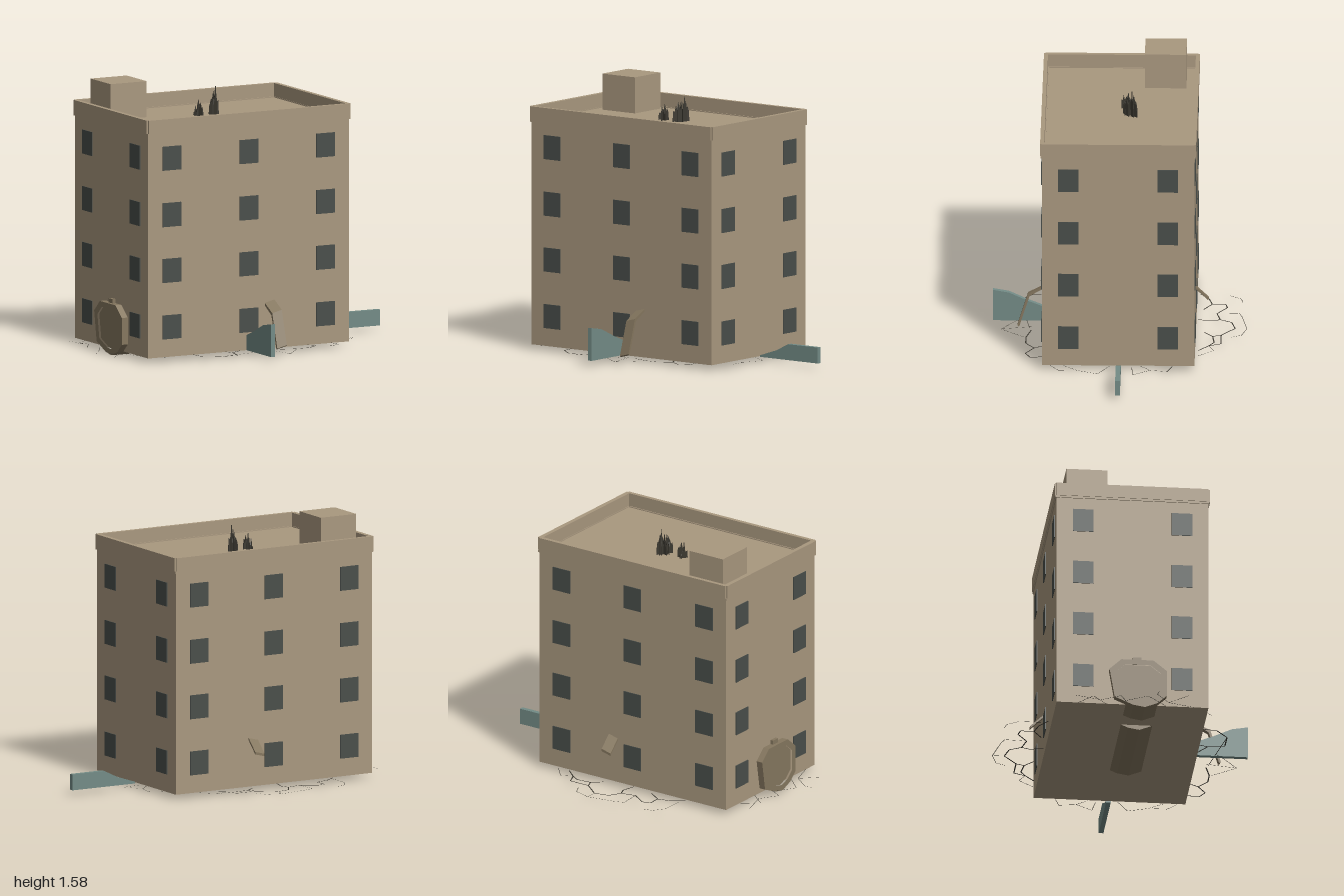
import * as THREE from 'three';

const mat = (name, color, side = THREE.FrontSide) =>
  Object.assign(new THREE.MeshStandardMaterial({ color, side }), { name });

export function createModel() {
  const wall = mat('tan plaster', 0xa9987f);
  const glass = mat('dark window', 0x494e4a);
  const slate = mat('grey teal', 0x738b86);
  const wreck = mat('weathered tan', 0x85775f);
  const soot = mat('charred', 0x3b3830, THREE.DoubleSide);

  const model = new THREE.Group();
  model.name = 'ruinedBuilding';
  const add = (parent, name, geometry, material) => {
    const mesh = new THREE.Mesh(geometry, material);
    mesh.name = name;
    parent.add(mesh);
    return mesh;
  };
  const group = (name) => {
    const g = new THREE.Group();
    g.name = name;
    model.add(g);
    return g;
  };
  // Box given by its minimum and maximum corners
  const box = (x0, x1, y0, y1, z0, z1) =>
    new THREE.BoxGeometry(x1 - x0, y1 - y0, z1 - z0)
      .translate((x0 + x1) / 2, (y0 + y1) / 2, (z0 + z1) / 2);
  const outline = (pts) => new THREE.Shape(pts.map(([a, b]) => new THREE.Vector2(a, b)));
  // Profile in (x, y) extruded along z
  const prismZ = (shape, z0, z1) =>
    new THREE.ExtrudeGeometry(shape, { depth: z1 - z0, bevelEnabled: false }).translate(0, 0, z0);
  // Profile in (z, y) extruded along x
  const prismX = (shape, x0, x1) =>
    new THREE.ExtrudeGeometry(shape, { depth: x1 - x0, bevelEnabled: false })
      .rotateY(-Math.PI / 2).translate(x1, 0, 0);

  // Main block and roof hut
  add(model, 'buildingBlock', box(-0.8, 0.55, 0.03, 1.365, -0.45, 0.45), wall);
  add(model, 'roofHut', box(-0.73, -0.487, 1.36, 1.58, -0.385, -0.14), wall);

  // Parapet walls with notched corners, over a thin ledge
  const parapet = group('parapet');
  for (const s of [-1, 1]) {
    const long = box(-0.8, 0.55, 1.37, 1.45, 0.436, 0.46);
    add(parapet, 'parapetLongWall', s > 0 ? long : long.rotateY(Math.PI).translate(-0.25, 0, 0), wall);
    const [x0, x1] = s > 0 ? [0.533, 0.56] : [-0.81, -0.783];
    add(parapet, 'parapetShortWall', box(x0, x1, 1.37, 1.45, -0.45, 0.45), wall);
  }
  const ledge = outline([[-0.806, -0.456], [0.556, -0.456], [0.556, 0.456], [-0.806, 0.456]]);
  ledge.holes.push(outline([[-0.78, -0.43], [-0.78, 0.43], [0.53, 0.43], [0.53, -0.43]]));
  add(parapet, 'parapetLedge', prismZ(ledge, 0, 0.014).rotateX(-Math.PI / 2).translate(0, 1.357, 0), wall);

  // Windows: four storeys, three columns on long sides, two on short sides
  const windows = group('windows');
  for (const y of [0.208, 0.545, 0.878, 1.215]) {
    for (const s of [-1, 1]) {
      for (const x of [-0.642, -0.123, 0.39]) {
        add(windows, 'window', new THREE.BoxGeometry(0.124, 0.143, 0.008), glass)
          .position.set(x, y, s * 0.451);
      }
      for (const z of [-0.293, 0.293]) {
        add(windows, 'window', new THREE.BoxGeometry(0.008, 0.143, 0.122), glass)
          .position.set(-0.125 + s * 0.676, y, z);
      }
    }
  }

  // Broken fins sticking out of the front and the side
  add(model, 'frontFin', prismX(outline([[0.4, 0.03], [0.75, 0.03], [0.75, 0.225], [0.655, 0.208],
    [0.54, 0.155], [0.4, 0.1]]), -0.14, -0.112), slate);
  add(model, 'sideFin', prismZ(outline([[0.57, 0.03], [1, 0.03], [1, 0.125], [0.78, 0.125],
    [0.69, 0.08], [0.57, 0.04]]), -0.018, 0.01), slate);

  // Bent slabs, front and back, sheared so one edge sits higher
  const slab = (name, pts) => {
    const g = prismX(outline(pts), -0.016, 0.048);
    const p = g.attributes.position;
    for (let i = 0; i < p.count; i++) p.setY(i, p.getY(i) + 0.25 * (p.getX(i) - 0.03));
    g.computeVertexNormals();
    add(model, name, g, wreck);
  };
  slab('frontSlab', [[0.4, 0.32], [0.45, 0.298], [0.53, 0.252], [0.592, 0.055], [0.603, 0.062],
    [0.541, 0.265], [0.45, 0.314], [0.4, 0.338]]);
  slab('backSlab', [[-0.42, 0.345], [-0.525, 0.245], [-0.525, 0.23], [-0.42, 0.33]]);

  // Buried hull: eight-sided sections and a hollow end ring
  const hull = group('buriedHull');
  const octagon = (k) => [[0.145, 0.03], [0.07, 0], [0, 0.012], [-0.11, 0.06], [-0.14, 0.24],
    [-0.07, 0.305], [0.12, 0.305], [0.2, 0.24], [0.2, 0.08]]
    .map(([z, y]) => [0.04 + (z - 0.04) * k, 0.16 + (y - 0.16) * k]);
  const ring = outline(octagon(1));
  ring.holes.push(outline(octagon(0.78)));
  add(hull, 'endRing', prismX(ring, -0.84, -0.65), wreck);
  add(hull, 'endPanel', prismX(outline(octagon(0.8)), -0.825, -0.66), wreck);
  add(hull, 'hullSection', prismX(outline(octagon(1)), -0.52, 0.12), wreck);
  add(hull, 'ringKnob', box(-0.82, -0.79, 0.29, 0.33, 0.0, 0.05), wreck);

  // Charred jagged shards on the roof
  let seed = 7;
  const rnd = () => (seed = (seed * 16807) % 2147483647) / 2147483647;
  const shards = group('roofShards');
  for (const [cx, cz, height, count] of [[-0.085, -0.06, 0.165, 9], [-0.188, -0.045, 0.1, 6]]) {
    for (let i = 0; i < count; i++) {
      const w = 0.014 + 0.012 * rnd();
      const h = height * (i === 0 ? 1 : 0.4 + 0.5 * rnd());
      const shape = outline([[-w, 0], [w, 0], [w * 0.9, h * 0.5], [w * 0.5, h * 0.72], [w * 0.25, h * 0.6],
        [-w * 0.15, h], [-w * 0.5, h * 0.62], [-w * 0.9, h * 0.7]]);
      const shard = add(shards, 'shard', prismZ(shape, -0.002, 0.002), soot);
      shard.position.set(cx + (rnd() - 0.5) * 0.06, 1.362, cz + (rnd() - 0.5) * 0.06);
      shard.rotation.y = rnd() * Math.PI;
    }
  }

  // Ground cracks: flat ribbons along polylines of x, z pairs in hundredths
  const cracks = group('groundCracks');
  const crack = (pts, width) => {
    for (let i = 0; i + 3 < pts.length; i += 2) {
      const [x0, z0, x1, z1] = pts.slice(i, i + 4).map((v) => v / 100);
      const dx = x1 - x0, dz = z1 - z0;
      const g = new THREE.PlaneGeometry(Math.hypot(dx, dz), width).rotateX(-Math.PI / 2)
        .rotateY(-Math.atan2(dz, dx)).translate((x0 + x1) / 2, 0.031, (z0 + z1) / 2);
      add(cracks, 'crack', g, soot);
    }
  };
  const back = [
    [-52, -47, -45, -52, -37, -54, -29, -49], [-37, -54, -37, -62, -32, -63, -23, -57, -14, -59, -12, -54, -14, -46],
    [-14, -59, -10, -66, -1, -68, 9, -60, 11, -55, 5, -50], [11, -55, 20, -56, 25, -53, 32, -47],
    [9, -60, 22, -60, 25, -53]];
  const front = [
    [-50, 45, -49, 53, -40, 60, -28, 60, -26, 50, -28, 45], [-26, 50, -18, 45],
    [3, 52, 14, 55, 23, 55, 30, 50, 27, 45], [30, 50, 38, 55, 44, 52, 43, 45]];
  const faint = [
    [-50, -51, -50, -64, -45, -71, -40, -72], [-23, -57, -24, -70, -18, -72, -1, -75, -1, -68],
    [-1, -75, 9, -72, 12, -66], [25, -53, 32, -56, 40, -47],
    [-2, 51, 2, 70, -9, 62, -16, 56], [2, 70, 14, 56], [-40, 60, 0, 53],
    [-80, -32, -90, -24, -80, -16], [-90, -35, -85, -19, -92, -8, -80, -2],
    [-85, -5, -93, 8, -80, 20], [-100, 14, -96, 13, -85, 21, -96, 32], [-85, 21, -80, 36, -70, 48]];
  const side = [
    [56, -32, 64, -29, 62, -19, 56, -13], [62, -19, 69, -9, 58, -8], [56, 32, 63, 24, 68, 12, 56, 5],
    [56, 40, 63, 35, 63, 24]];
  for (const line of [...back, ...front]) crack(line, 0.007);
  for (const line of [...faint, ...side]) crack(line, 0.003);

  return model;
}
